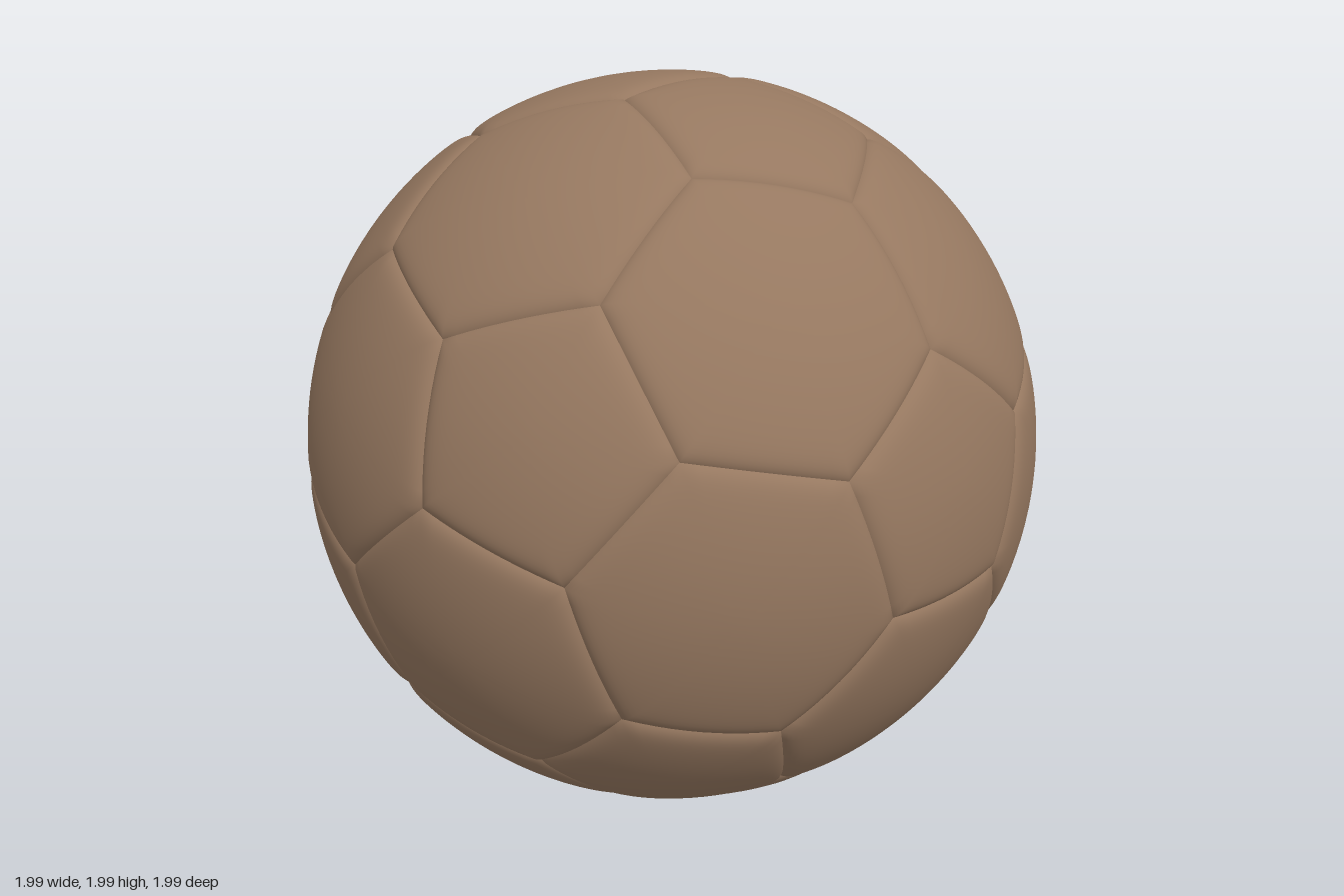
import * as THREE from 'three';

const RADIUS = 0.997;      // ball radius at the middle of a panel
const SEAM_DEPTH = 0.016;  // how far the seams sink in
const SEAM_WIDTH = 0.02;   // how quickly a panel rolls into its seam
const RINGS = 16, EDGE_STEPS = 10;

// Twelve icosahedron corners: the centres of the pentagon panels
function pentagonCentres() {
  const axis = new THREE.Vector3(-0.187, 0.345, 0.92).normalize();
  const side = new THREE.Vector3(0.791, 0.147, 0.595);
  side.addScaledVector(axis, -side.dot(axis)).normalize();
  const third = new THREE.Vector3().crossVectors(axis, side);
  const points = [axis];
  for (let k = 0; k < 5; k++) {
    const a = k * Math.PI * 0.4;
    points.push(axis.clone()
      .addScaledVector(side, 2 * Math.cos(a))
      .addScaledVector(third, 2 * Math.sin(a))
      .normalize());
  }
  return points.concat(points.map((p) => p.clone().negate()));
}

// One puffed panel: rings from its centre out to the seam
function panelGeometry(corners) {
  const n = corners.length;
  const centre = corners.reduce((s, c) => s.add(c), new THREE.Vector3()).divideScalar(n);
  const out = centre.clone().normalize();
  const u = corners[0].clone().sub(centre).normalize();
  const v = new THREE.Vector3().crossVectors(out, u);
  const angle = (p) => Math.atan2(p.clone().sub(centre).dot(v), p.clone().sub(centre).dot(u));
  const loop = [...corners].sort((a, b) => angle(a) - angle(b));
  const apothem = loop[0].clone().add(loop[1]).multiplyScalar(0.5).distanceTo(centre);

  const count = n * EDGE_STEPS;
  const positions = [], index = [];
  const addPoint = (p, gap) => {
    const r = RADIUS - SEAM_DEPTH * Math.exp(-gap / SEAM_WIDTH);
    positions.push(...p.normalize().multiplyScalar(r).toArray());
  };
  addPoint(centre.clone(), apothem);
  for (let ring = 1; ring <= RINGS; ring++) {
    const t = 1 - Math.pow(1 - ring / RINGS, 2.2);
    for (let i = 0; i < count; i++) {
      const e = Math.floor(i / EDGE_STEPS);
      const p = loop[e].clone().lerp(loop[(e + 1) % n], (i % EDGE_STEPS) / EDGE_STEPS);
      addPoint(centre.clone().lerp(p, t), (1 - t) * apothem);
    }
  }
  for (let i = 0; i < count; i++) {
    const j = (i + 1) % count;
    index.push(0, 1 + i, 1 + j);
    for (let ring = 0; ring < RINGS - 1; ring++) {
      const a = 1 + ring * count, b = a + count;
      index.push(a + i, b + i, b + j, a + i, b + j, a + j);
    }
  }
  const geometry = new THREE.BufferGeometry();
  geometry.setAttribute('position', new THREE.Float32BufferAttribute(positions, 3));
  geometry.setIndex(index);
  geometry.computeVertexNormals();
  return geometry;
}

export function createModel() {
  const leather = new THREE.MeshStandardMaterial({ color: 0x967860 });
  leather.name = 'brown leather';
  const ball = new THREE.Group();
  ball.name = 'ball';
  ball.position.y = 1;

  const addPanel = (name, corners) => {
    const mesh = new THREE.Mesh(panelGeometry(corners), leather);
    mesh.name = name;
    ball.add(mesh);
  };
  const centres = pentagonCentres();
  const near = (a, b) => a !== b && a.dot(b) > 0.3;
  const third = (a, b) => a.clone().multiplyScalar(2).add(b).normalize();

  // Pentagon panels
  for (const a of centres) {
    addPanel('pentagonPanel', centres.filter((b) => near(a, b)).map((b) => third(a, b)));
  }

  // Hexagon panels, one between every three neighbouring pentagons
  centres.forEach((a, i) => centres.forEach((b, j) => centres.forEach((c, k) => {
    if (i < j && j < k && near(a, b) && near(b, c) && near(a, c)) {
      addPanel('hexagonPanel',
        [third(a, b), third(b, a), third(b, c), third(c, b), third(c, a), third(a, c)]);
    }
  })));

  const model = new THREE.Group();
  model.name = 'football';
  model.add(ball);
  return model;
}
